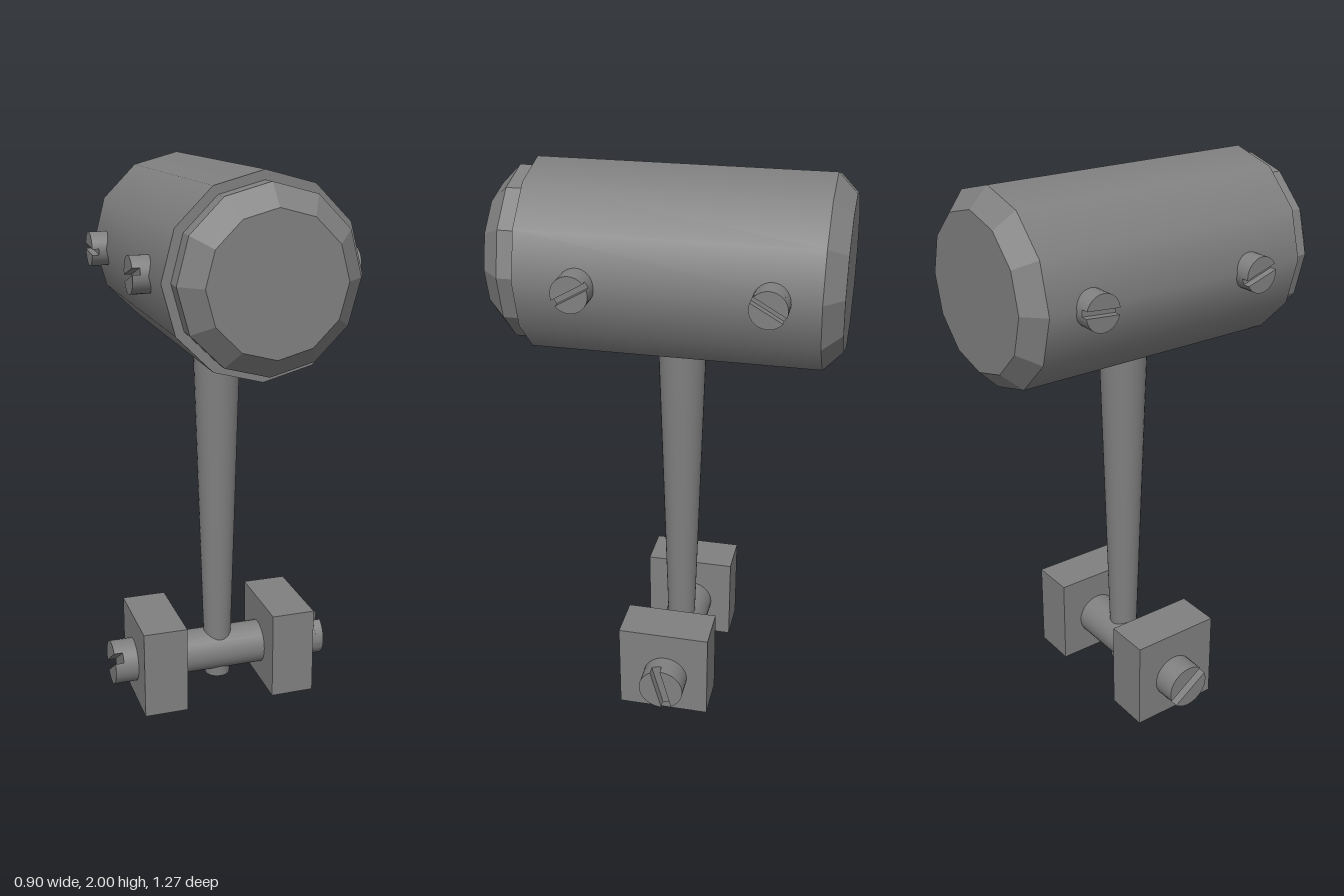
import * as THREE from 'three';
import { toCreasedNormals } from 'three/addons/utils/BufferGeometryUtils.js';

const smooth = new THREE.MeshStandardMaterial({ color: 0x808080 });
const faceted = new THREE.MeshStandardMaterial({ color: 0x808080, flatShading: true });
const rad = THREE.MathUtils.degToRad;

function add(parent, name, geometry, material = smooth) {
  const mesh = new THREE.Mesh(geometry, material);
  mesh.name = name;
  parent.add(mesh);
  return mesh;
}

// Cylinder lying along z, from z0 (radius r0) to z1 (radius r1)
function alongZ(r0, r1, z0, z1, sides) {
  return new THREE.CylinderGeometry(r1, r0, z1 - z0, sides)
    .rotateX(Math.PI / 2)
    .translate(0, 0, (z0 + z1) / 2);
}

// Half of a slotted head: a disc segment above the slot, extruded by its depth
function headHalf(radius, slot, depth) {
  const a = Math.asin(slot / 2 / radius);
  const shape = new THREE.Shape();
  shape.absarc(0, 0, radius, a, Math.PI - a, false);
  shape.closePath();
  const geometry = new THREE.ExtrudeGeometry(shape, { depth, bevelEnabled: false, curveSegments: 14 });
  return toCreasedNormals(geometry, 0.6);
}

// Pin along x from x0 to x1, with a slotted head at each end
function slottedPin(name, radius, x0, x1, slot, depth, leftAngle, rightAngle) {
  const pin = new THREE.Group();
  pin.name = name;
  const shaft = new THREE.CylinderGeometry(radius, radius, x1 - x0 - 2 * depth, 28).rotateZ(Math.PI / 2);
  add(pin, name + 'Shaft', shaft).position.x = (x0 + x1) / 2;
  for (const [side, angle] of [[1, leftAngle], [-1, rightAngle]]) {
    const head = new THREE.Group();
    head.name = name + 'Head';
    head.position.x = side > 0 ? x1 - depth : x0 + depth;
    head.rotation.y = side * Math.PI / 2;
    for (const turn of [0, 180]) {
      add(head, 'slottedHeadHalf', headHalf(radius, slot, depth)).rotation.z = rad(angle + turn);
    }
    pin.add(head);
  }
  return pin;
}

export function createModel() {
  const model = new THREE.Group();
  model.name = 'mallet';
  model.rotation.y = rad(-10);

  // Mallet head: smooth twelve-sided barrel with faceted ends
  const head = new THREE.Group();
  head.name = 'malletHead';
  head.position.set(-0.018, 1.669, 0.002);
  add(head, 'barrel', alongZ(0.331, 0.331, -0.53, 0.472, 12));
  add(head, 'backBevel', alongZ(0.265, 0.331, -0.595, -0.53, 12), faceted);
  add(head, 'frontCollar', alongZ(0.3, 0.3, 0.472, 0.535, 12), faceted);
  add(head, 'frontBevel', alongZ(0.3, 0.23, 0.535, 0.603, 12), faceted);
  model.add(head);

  // Cross pins through the barrel
  for (const [z, leftAngle, rightAngle] of [[0.262, 30, 18], [-0.37, -30, -5]]) {
    const pin = slottedPin('barrelPin', 0.062, -0.4, 0.379, 0.022, 0.025, leftAngle, rightAngle);
    pin.position.set(0, 1.667, z);
    model.add(pin);
  }

  // Tapered handle
  const handle = add(model, 'handle', new THREE.CylinderGeometry(0.087, 0.048, 1.37, 28));
  handle.position.set(-0.018, 0.735, -0.022);

  // Axle through the foot blocks
  const axle = slottedPin('axle', 0.082, -0.436, 0.398, 0.038, 0.032, 105, 35);
  axle.position.set(0, 0.15, -0.029);
  model.add(axle);

  // Foot blocks
  for (const side of [-1, 1]) {
    const block = add(model, 'footBlock', new THREE.BoxGeometry(0.164, 0.333, 0.335));
    block.position.set(-0.017 + side * 0.25, 0.1665, -0.021);
  }

  return model;
}
